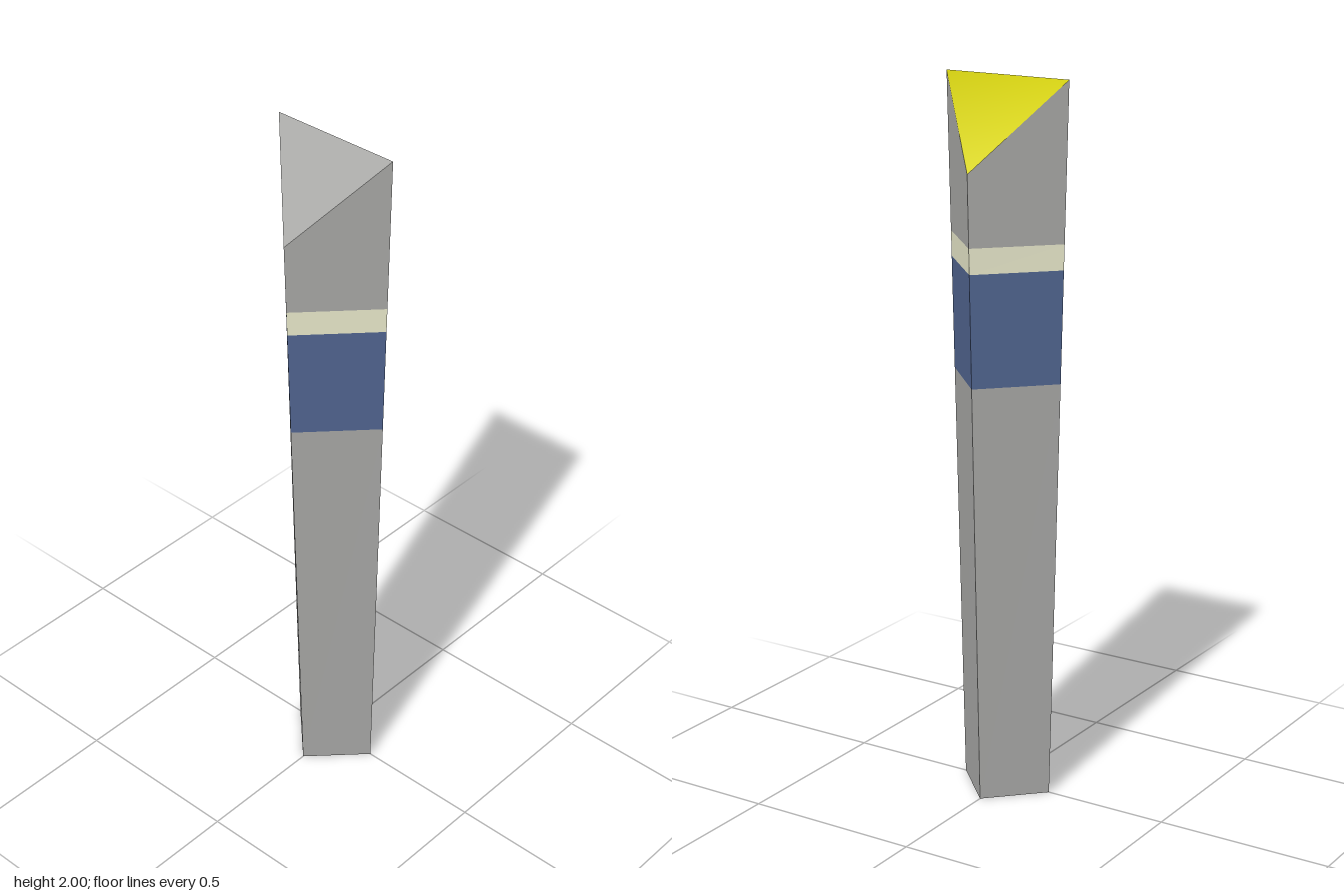
import * as THREE from 'three';

const mat = (name, color) => {
  const m = new THREE.MeshStandardMaterial({ color });
  m.name = name;
  return m;
};

// Corners of the tapering diamond section: front, +x, back, -x
const ring = (y, yRidge = y) => {
  const x = 0.14 + 0.025 * yRidge, z = 0.14 + 0.0285 * y;
  return [[0, y, z], [x, yRidge, 0], [0, y, -z], [-x, yRidge, 0]];
};

// Faces are lists of corners, counter-clockwise from outside
function mesh(name, faces, material) {
  const pos = [];
  for (const f of faces)
    for (let i = 1; i < f.length - 1; i++) pos.push(...f[0], ...f[i], ...f[i + 1]);
  const g = new THREE.BufferGeometry();
  g.setAttribute('position', new THREE.Float32BufferAttribute(pos, 3));
  g.computeVertexNormals();
  const m = new THREE.Mesh(g, material);
  m.name = name;
  return m;
}

// Four side walls between two sections
const walls = (low, high) =>
  low.map((p, i) => [p, low[(i + 1) % 4], high[(i + 1) % 4], high[i]]);

export function createModel() {
  const grey = mat('stoneGrey', 0xa6a6a4);
  const blue = mat('bandBlue', 0x50648f);
  const cream = mat('bandCream', 0xececce);
  const yellow = mat('capYellow', 0xe6e212);
  const group = new THREE.Group();
  group.name = 'post';

  const foot = ring(0), blueLow = ring(1.19), blueTop = ring(1.5), creamTop = ring(1.57);
  const top = ring(1.765, 2); // the side corners rise to the ridge
  const [front, right, back, left] = top;

  // Shaft and bands
  group.add(mesh('shaft', [...walls(foot, blueLow), [...foot].reverse()], grey));
  group.add(mesh('blueBand', walls(blueLow, blueTop), blue));
  group.add(mesh('creamBand', walls(blueTop, creamTop), cream));

  // Head with its plain front slope
  group.add(mesh('head', [...walls(creamTop, top), [front, right, left]], grey));

  // Yellow back slope, softly rounded by its normals
  const cap = mesh('backSlope', [[back, left, right]], yellow);
  const normals = [[0, 0.3, -0.95], [-0.8, 0.5, -0.35], [0.8, 0.5, -0.35]];
  cap.geometry.setAttribute('normal', new THREE.Float32BufferAttribute(normals.flat(), 3));
  cap.geometry.normalizeNormals();
  group.add(cap);

  return group;
}
